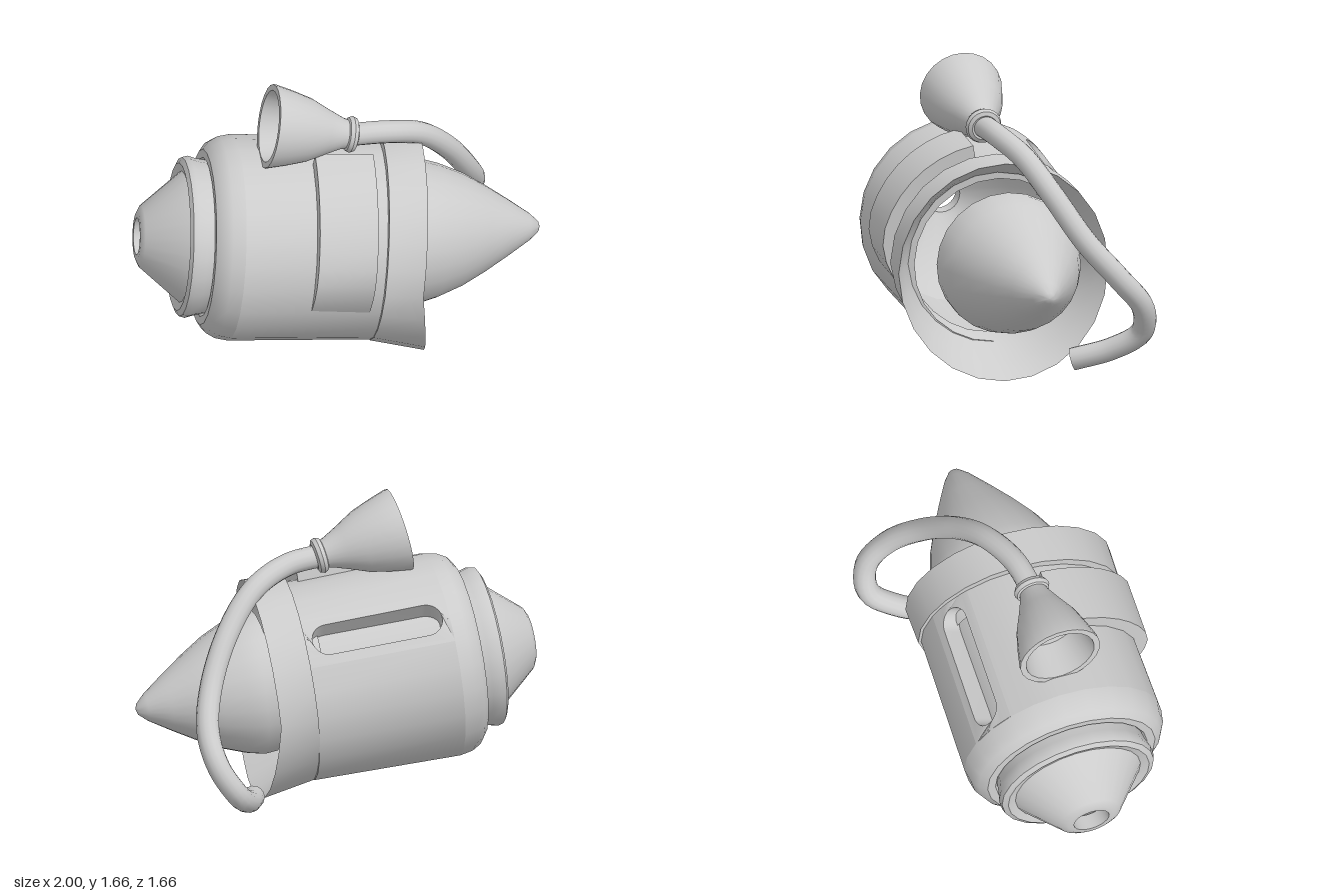
import * as THREE from 'three';
import { toCreasedNormals } from 'three/addons/utils/BufferGeometryUtils.js';

const SIDES = 24;
const WALL = 0.085;
const SLOT_DEPTH = 0.12;
const material = new THREE.MeshStandardMaterial({ color: 0xcccccc });
const openMaterial = new THREE.MeshStandardMaterial({ color: 0xcccccc, side: THREE.DoubleSide });

function mesh(name, geometry, mat = material) {
  const m = new THREE.Mesh(toCreasedNormals(geometry, 0.6), mat);
  m.name = name;
  return m;
}

// Turns [radius, station] pairs about the local z axis
function turned(points, start = 0, length = Math.PI * 2, sides = SIDES) {
  const profile = points.map(([r, s]) => new THREE.Vector2(r, s));
  return new THREE.LatheGeometry(profile, sides, start, length).rotateX(Math.PI / 2);
}

const hullRadius = (s) => 0.54 - 0.018 * s;

// Curved hull panel pierced by a long round-ended slot
function slottedPanel(centre, half, s0, s1) {
  const R = 0.55, w = half * R, slotR = 0.088;
  const shape = new THREE.Shape();
  const n = 8;
  for (let i = 0; i <= n; i++) {
    const u = -w + (2 * w * i) / n;
    if (i === 0) shape.moveTo(u, s0); else shape.lineTo(u, s0);
  }
  for (let i = 0; i <= n; i++) shape.lineTo(w - (2 * w * i) / n, s1);
  const hole = new THREE.Path();
  hole.absarc(0, -0.24 - slotR, slotR, 0, Math.PI, false);
  hole.absarc(0, -0.96 + slotR, slotR, Math.PI, Math.PI * 2, false);
  shape.holes.push(hole);
  const g = new THREE.ExtrudeGeometry(shape, { depth: SLOT_DEPTH, bevelEnabled: false, curveSegments: 8 });
  const p = g.attributes.position;
  for (let i = 0; i < p.count; i++) {
    const a = centre + p.getX(i) / R;
    const s = p.getY(i);
    const r = hullRadius(s) - SLOT_DEPTH + p.getZ(i);
    p.setXYZ(i, r * Math.sin(a), -r * Math.cos(a), s);
  }
  return g;
}

// Mouth ring: the lower lip leans forward and the lower back edge sinks into the hull
function mouthRing() {
  const g = turned([
    [0.455, -0.3], [0.5, -0.21], [0.572, -0.21], [0.577, 0],
    [0.525, -0.09], [0.48, -0.18], [0.455, -0.3],
  ]);
  const p = g.attributes.position;
  for (let i = 0; i < p.count; i++) {
    const x = p.getX(i), y = p.getY(i), z = p.getZ(i);
    const low = Math.max(0, -y / 0.57);
    const front = THREE.MathUtils.clamp(1 + z / 0.21, 0, 1);
    const sink = 1 - 0.075 * Math.min(1, low * 1.5) * (1 - front);
    p.setXYZ(i, x * sink, y * 1.035 * sink, z + 0.1 * low * front + 0.03 * x);
  }
  return g;
}

// Arc-shaped plate section whose lower end tapers into the hull
function plateShape() {
  const shape = new THREE.Shape();
  const n = 12;
  const point = (i, inner) => {
    const deg = 101 + (109 * i) / n;
    const a = THREE.MathUtils.degToRad(deg);
    const r = inner ? 0.5 : 0.62 - 0.1 * THREE.MathUtils.smoothstep(deg, 165, 210);
    return new THREE.Vector2(r * Math.cos(a), r * Math.sin(a));
  };
  const points = [];
  for (let i = 0; i <= n; i++) points.push(point(i, false));
  for (let i = n; i >= 0; i--) points.push(point(i, true));
  return shape.setFromPoints(points);
}

export function createModel() {
  const model = new THREE.Group();
  model.name = 'engine';

  // Engine frame: local z runs along the axis to the nose, origin at the mouth
  const axis = new THREE.Vector3(0.7, -0.103, 0.705).normalize();
  const side = new THREE.Vector3(0, 1, 0).cross(axis).normalize();
  const up = axis.clone().cross(side);
  const body = new THREE.Group();
  body.name = 'body';
  body.quaternion.setFromRotationMatrix(new THREE.Matrix4().makeBasis(side, up, axis));
  body.position.set(0.185, 0.6, 0.375);
  model.add(body);

  // Hull tube, open over one sector that the slotted panel fills
  const s0 = -1.0, s1 = -0.19;
  const slotAngle = Math.PI * 0.75, half = Math.PI / 12;
  const hull = mesh('hull', turned([
    [hullRadius(s0), s0], [hullRadius(s1), s1],
    [hullRadius(s1) - WALL, s1], [hullRadius(s0) - WALL, s0],
  ], slotAngle + half, Math.PI * 2 - 2 * half, 22));
  const panel = mesh('slottedPanel', slottedPanel(slotAngle, half, s0, s1));

  // Closed floor under the slot
  const floorTop = hullRadius(s1) - SLOT_DEPTH + 0.012;
  const floor = mesh('slotFloor', turned([
    [floorTop - 0.02, s0], [floorTop, s0], [floorTop, s1], [floorTop - 0.02, s1], [floorTop - 0.02, s0],
  ], slotAngle - half, 2 * half, 4));

  // Rear shoulder, flange and hollow tail cone
  const tail = mesh('tail', turned([
    [0.1, -1.505], [0.13, -1.505], [0.17, -1.485], [0.355, -1.265],
    [0.4, -1.28], [0.43, -1.265], [0.438, -1.235], [0.425, -1.19], [0.415, -1.13],
    [0.43, -1.15], [0.475, -1.15], [0.517, -1.12], [0.545, -1.07], [hullRadius(s0), s0],
    [hullRadius(s0) - WALL, s0], [0.42, -1.1], [0.33, -1.22], [0.12, -1.41], [0.1, -1.42], [0.1, -1.505],
  ]));
  for (const part of [hull, panel, floor, tail]) part.position.x = 0.012;
  body.add(hull, panel, floor, tail);

  body.add(mesh('mouthRing', mouthRing()));

  // Raised plate wrapped around the upper side
  const plate = mesh('wrapPlate', new THREE.ExtrudeGeometry(plateShape(), {
    depth: 0.32, bevelEnabled: false,
  }));
  plate.position.set(0.008, 0.01, -0.61);
  body.add(plate);

  // Pointed nose, open at the back, with a slightly slanted base
  const nose = mesh('nose', turned([
    [0.385, -0.03], [0.388, 0.04], [0.363, 0.13], [0.31, 0.26],
    [0.237, 0.39], [0.155, 0.52], [0.075, 0.64], [0.03, 0.69], [0, 0.7],
  ]).applyMatrix4(new THREE.Matrix4().makeShear(0, 0.08, 0, 0, 0, 0)));
  nose.position.set(0.022, 0.044, 0.01);
  nose.rotation.y = 0.085;
  body.add(nose);

  // Horn with a collar, opening up and backwards
  const hornStart = new THREE.Vector3(-0.07, 1.33, 0.155);
  const hornEnd = new THREE.Vector3(-0.4, 1.435, -0.155);
  const horn = new THREE.Group();
  horn.name = 'horn';
  horn.position.copy(hornStart);
  horn.lookAt(hornEnd);
  horn.add(mesh('hornBell', turned([
    [0, -0.01], [0.07, -0.01], [0.085, 0.05], [0.125, 0.14], [0.173, 0.24], [0.205, 0.35],
    [0.228, 0.445], [0.228, 0.46], [0.195, 0.46], [0.178, 0.38], [0.15, 0.27], [0, 0.25],
  ])));
  horn.add(mesh('hornCollar', new THREE.TorusGeometry(0.07, 0.03, 8, SIDES)));
  model.add(horn);

  // Hose sweeping from the horn collar round to the side of the mouth
  const path = new THREE.CatmullRomCurve3([
    [-0.09, 1.33, 0.14], [0.09, 1.305, 0.265], [0.3, 1.22, 0.345], [0.5, 1.04, 0.38],
    [0.7, 0.8, 0.365], [0.865, 0.6, 0.285], [0.938, 0.44, 0.17], [0.88, 0.28, 0.085],
    [0.72, 0.18, 0.12], [0.52, 0.115, 0.21],
  ].map((p) => new THREE.Vector3(...p)));
  model.add(mesh('hose', new THREE.TubeGeometry(path, 60, 0.062, 14), openMaterial));

  // Flat end of the hose
  const cap = mesh('hoseEnd', new THREE.CircleGeometry(0.062, 14), openMaterial);
  const end = path.getPoint(1);
  cap.position.copy(end);
  cap.lookAt(end.clone().add(path.getTangent(1)));
  model.add(cap);

  return model;
}
